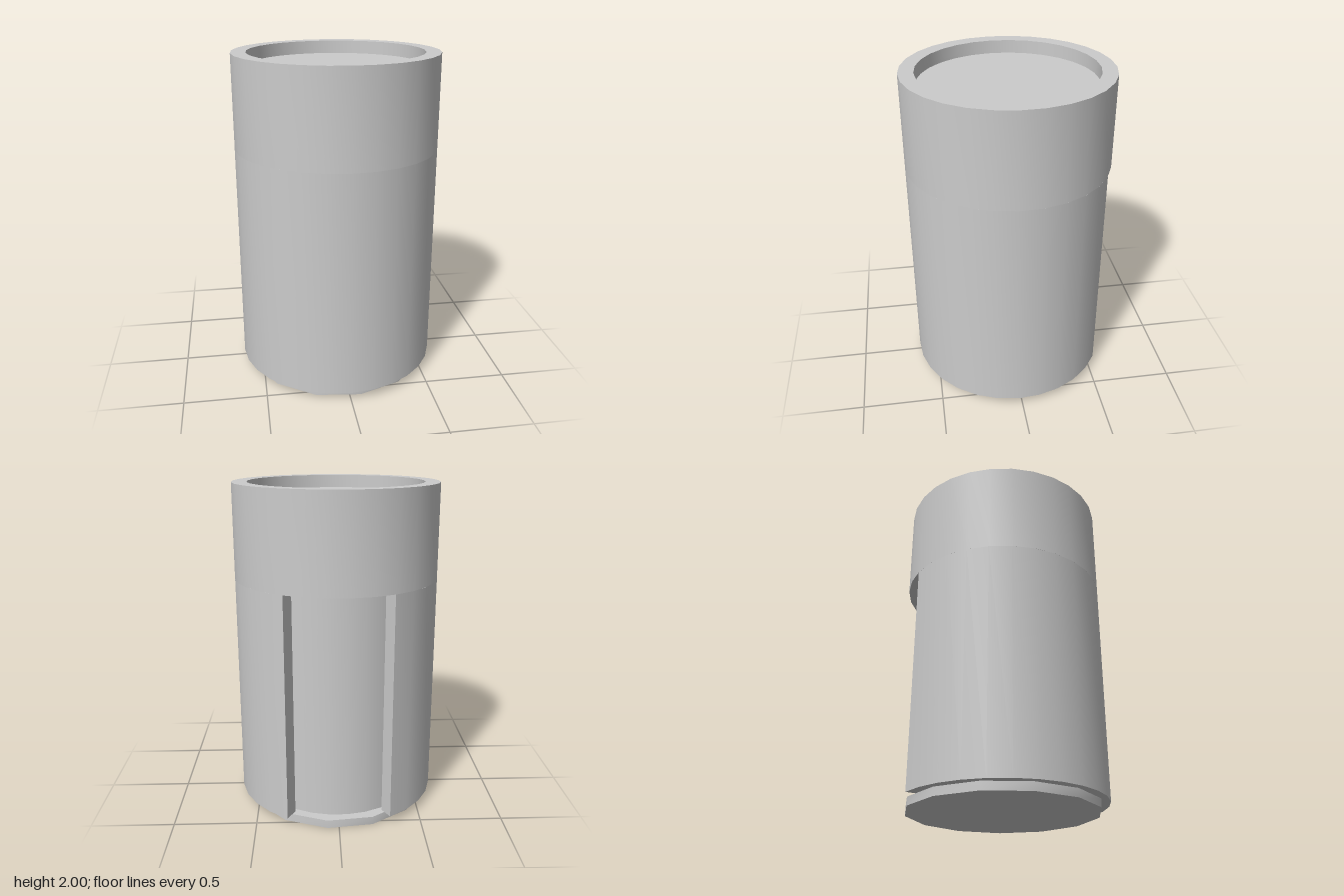
import * as THREE from 'three';
import { toCreasedNormals } from 'three/addons/utils/BufferGeometryUtils.js';

const OUTER = 0.62, INNER = 0.53, CORE = 0.505;
const BASE_TOP = 0.05, SEAM = 1.43, FLOOR = 1.92, TOP = 2;

export function createModel() {
  const model = new THREE.Group();
  const material = new THREE.MeshStandardMaterial({ color: 0xcccccc, side: THREE.DoubleSide });

  const add = (name, geometry) => {
    const mesh = new THREE.Mesh(toCreasedNormals(geometry, Math.PI / 5), material);
    mesh.name = name;
    model.add(mesh);
    return mesh;
  };

  // Solid of revolution from [radius, height] pairs
  const turned = (profile, sides) =>
    new THREE.LatheGeometry(profile.map(([r, y]) => new THREE.Vector2(r, y)), sides);

  // Upper collar: a closed ring around the top of the core
  add('collar', turned([
    [INNER, SEAM], [OUTER, SEAM], [OUTER, TOP], [INNER, TOP], [INNER, SEAM],
  ], 29));

  // Recessed floor inside the collar
  const floor = add('recessedTop', new THREE.CircleGeometry(INNER, 29));
  floor.rotation.x = -Math.PI / 2;
  floor.position.y = FLOOR;

  // Inner core, seen through the rear opening
  add('core', turned([[CORE, BASE_TOP], [CORE, FLOOR]], 29));

  // Lower sleeve: a 300 degree wall, open at the back
  const start = Math.PI * 2 / 3, sweep = Math.PI * 5 / 3, steps = 24;
  const arc = (radius) => Array.from({ length: steps + 1 }, (_, i) => {
    const a = start + sweep * i / steps;
    return new THREE.Vector2(radius * Math.cos(a), radius * Math.sin(a));
  });
  const section = new THREE.Shape([...arc(OUTER), ...arc(INNER).reverse()]);
  const sleeve = new THREE.ExtrudeGeometry(section, { depth: SEAM - BASE_TOP, bevelEnabled: false });
  sleeve.rotateX(-Math.PI / 2);
  sleeve.translate(0, BASE_TOP, 0);
  add('sleeve', sleeve);

  // Thin base disc
  const base = new THREE.CylinderGeometry(0.575, 0.575, BASE_TOP, 13);
  base.rotateY(Math.PI / 2);
  base.translate(0, BASE_TOP / 2, 0);
  add('baseDisc', base);

  return model;
}
